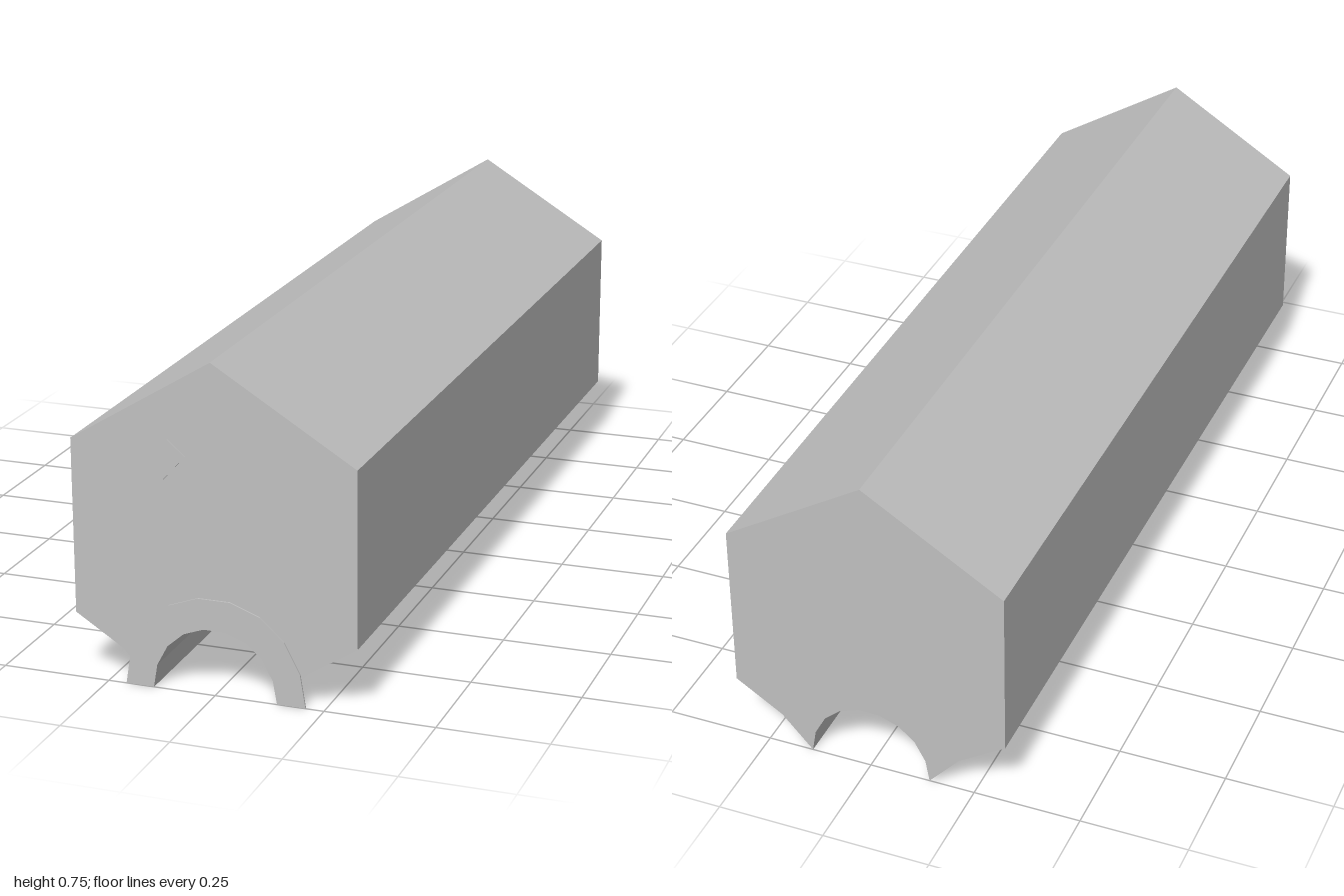
import * as THREE from 'three';

const grey = new THREE.MeshStandardMaterial({ color: 0xc0c0c0 });
grey.name = 'plain grey';

// Right half of the tunnel opening, from the foot to the crown
const opening = [[0.143, 0], [0.134, 0.053], [0.109, 0.1], [0.071, 0.133], [0.025, 0.15]];
// Right half of the arch trim's outer edge
const archOuter = [[0.208, 0], [0.196, 0.075], [0.16, 0.145], [0.105, 0.195], [0.037, 0.22]];
// Right half of the body's outer edge, from the foot up
const bodyOuter = [[0.143, 0], [0.215, 0.08], [0.325, 0.15], [0.325, 0.55], [0, 0.75]];

const mirror = (pts) => pts.filter(([x]) => x > 0).reverse().map(([x, y]) => [-x, y]);

// Extrudes an outline between two z positions
function prism(name, points, z0, z1) {
  const shape = new THREE.Shape(points.map(([x, y]) => new THREE.Vector2(x, y)));
  const geometry = new THREE.ExtrudeGeometry(shape, { depth: z1 - z0, bevelEnabled: false });
  geometry.translate(0, 0, z0);
  const mesh = new THREE.Mesh(geometry, grey);
  mesh.name = name;
  return mesh;
}

// Closed loop: up the right and down the left outside, then back through the opening
const ring = (outer) => [
  ...outer, ...mirror(outer),
  ...mirror(opening).reverse().slice(outer === bodyOuter ? 1 : 0),
  ...[...opening].reverse().slice(0, outer === bodyOuter ? -1 : undefined),
];

export function createModel() {
  const group = new THREE.Group();
  group.name = 'tunnelBlock';

  // Long hexagonal body with a tunnel along its underside
  group.add(prism('body', ring(bodyOuter), -1, 0.996));

  // Thin trim around the front of the tunnel
  group.add(prism('archTrim', ring(archOuter), 0.996, 1));

  // Small slanted plate on the front
  const plate = [[-0.125, 0.465], [-0.06, 0.537], [-0.1, 0.572], [-0.167, 0.5]];
  group.add(prism('frontPlate', plate, 0.996, 1));

  return group;
}
